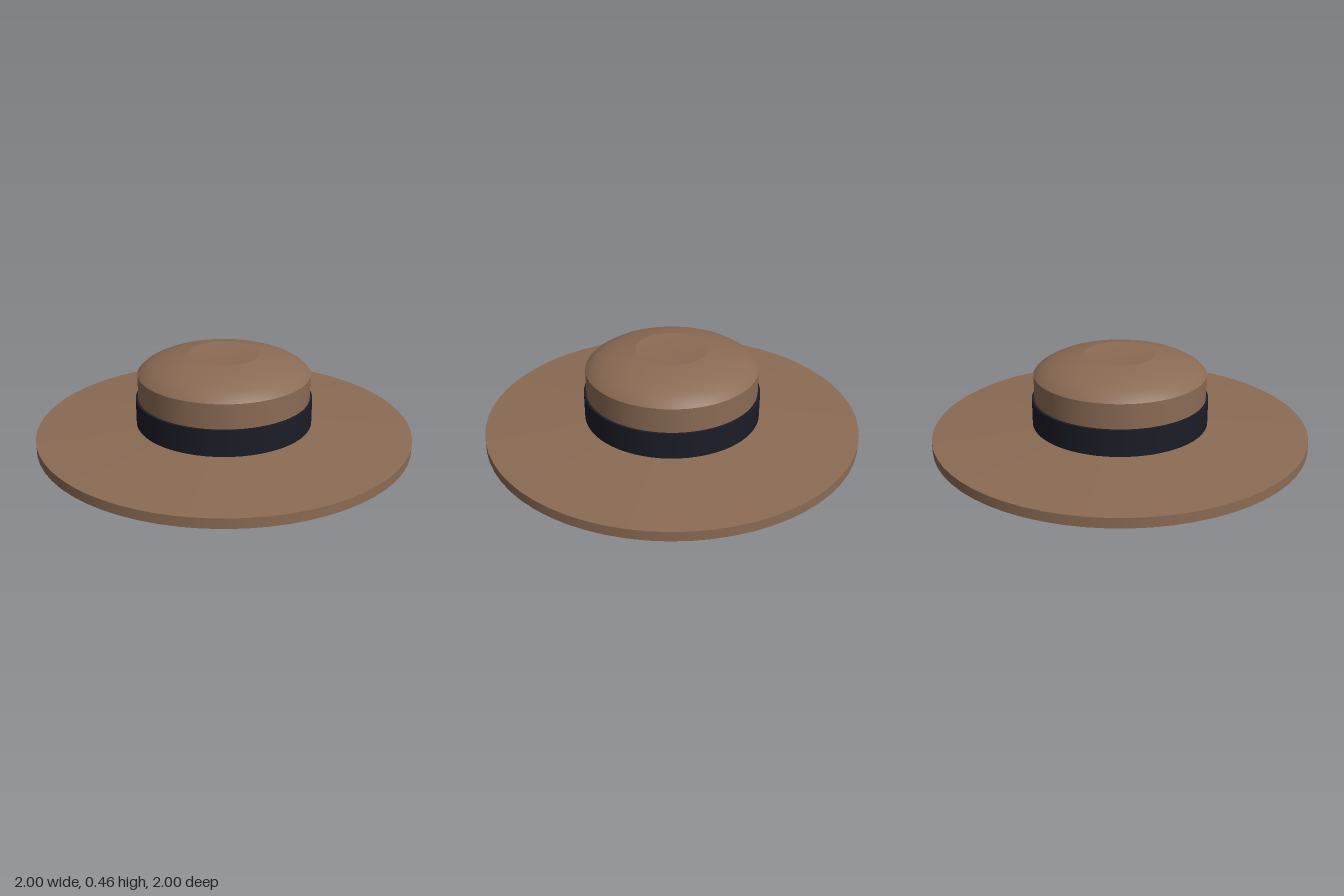
import * as THREE from 'three';

const SEGMENTS = 64;

// Lathe each [radius, y] run on its own so edges between runs stay crisp.
function turned(name, material, runs) {
  const group = new THREE.Group();
  group.name = name;
  runs.forEach((run, i) => {
    const points = run.map(([r, y]) => new THREE.Vector2(r, y));
    const mesh = new THREE.Mesh(new THREE.LatheGeometry(points, SEGMENTS), material);
    mesh.name = `${name}Surface${i + 1}`;
    group.add(mesh);
  });
  return group;
}

export function createModel() {
  const felt = new THREE.MeshStandardMaterial({ color: 0x8b6b54 });
  felt.name = 'brown felt';
  const ribbon = new THREE.MeshStandardMaterial({ color: 0x1c1c27 });
  ribbon.name = 'dark ribbon';

  const hat = new THREE.Group();
  hat.name = 'hat';

  // Wide brim: hollowed underside, short rim, gently sloping top
  hat.add(turned('brim', felt, [
    [[0, 0.043], [0.45, 0.036], [1, 0]],
    [[1, 0], [1, 0.052]],
    [[1, 0.052], [0.42, 0.09]],
  ]));

  // Crown: straight wall, rounded shoulder, slightly dished top
  hat.add(turned('crown', felt, [
    [[0.457, 0.08], [0.457, 0.36]],
    [[0.457, 0.36], [0.435, 0.383], [0.4, 0.405], [0.36, 0.423], [0.31, 0.439], [0.25, 0.453], [0.19, 0.463]],
    [[0.19, 0.463], [0.1, 0.457], [0, 0.455]],
  ]));

  // Ribbon band around the foot of the crown
  hat.add(turned('band', ribbon, [
    [[0.47, 0.08], [0.47, 0.228]],
    [[0.47, 0.228], [0.45, 0.228]],
  ]));

  return hat;
}
